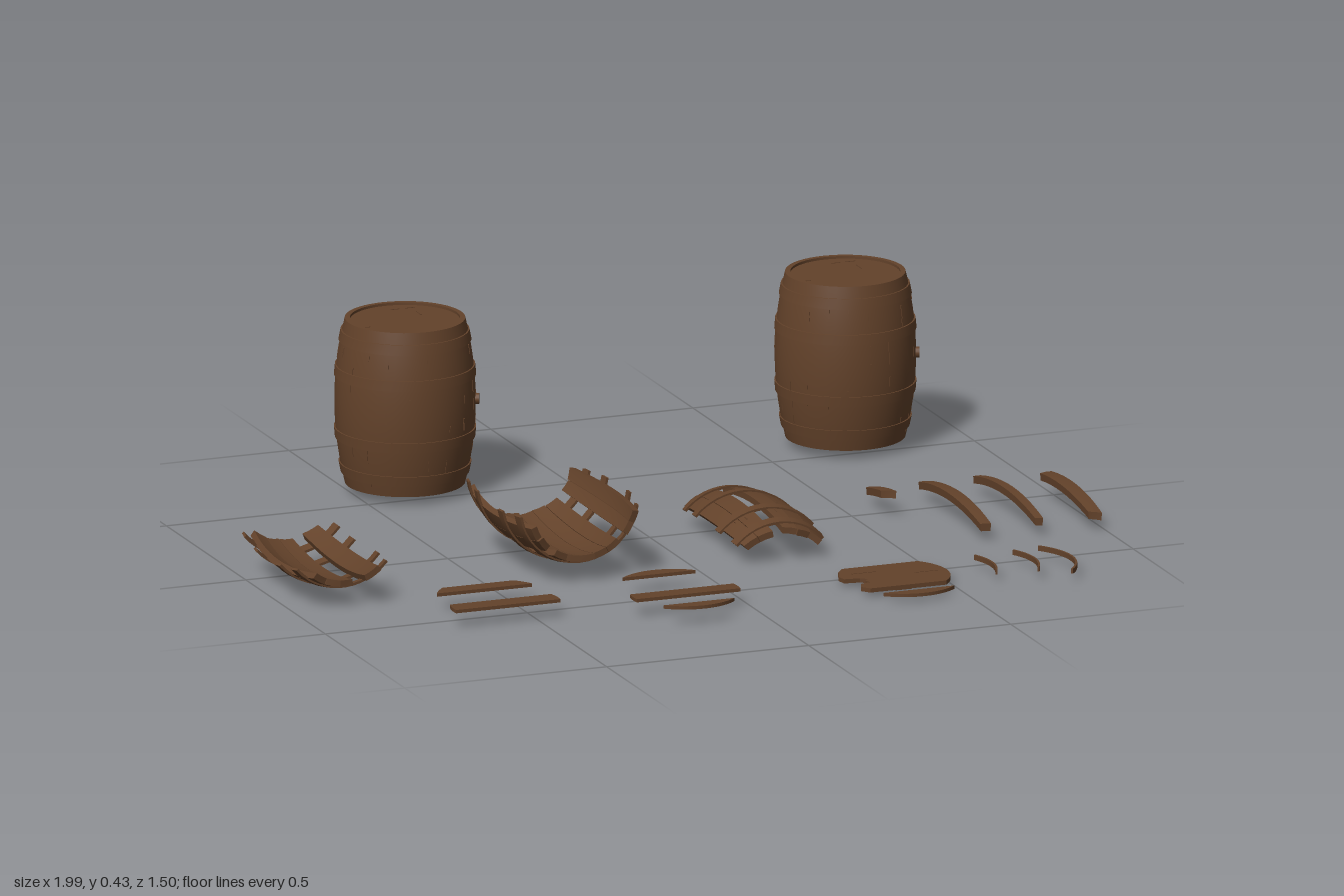
import * as THREE from 'three';
import { mergeGeometries } from 'three/addons/utils/BufferGeometryUtils.js';

const HALF = 0.196;               // half the length of a barrel
const HOOPS = [-0.157, -0.074, 0.074, 0.157];
const DEG = Math.PI / 180;
const radius = (t) => 0.139 + 0.024 * (1 - (t / HALF) ** 2);

export function createModel() {
  const model = new THREE.Group();
  const wood = new THREE.MeshStandardMaterial({ color: 0x63422a });
  wood.name = 'brown wood';

  let seed = 7;
  const rnd = (a, b) => {
    seed = (seed * 16807) % 2147483647;
    return a + (b - a) * (seed / 2147483647);
  };
  const add = (parent, name, geometry, x = 0, y = 0, z = 0) => {
    const mesh = new THREE.Mesh(geometry, wood);
    mesh.name = name;
    mesh.position.set(x, y, z);
    parent.add(mesh);
  };
  const group = (name, x, y, z, parent = model) => {
    const g = new THREE.Group();
    g.name = name;
    g.position.set(x, y, z);
    parent.add(g);
    return g;
  };

  // Box wrapped round the z axis on the barrel profile; angles in degrees, 0 is +y
  const bent = (a0, a1, low, high, z0, z1, slant = 0) => {
    const nu = Math.max(1, Math.ceil((a1 - a0) / 8));
    const nz = Math.max(1, Math.ceil((z1 - z0) / 0.035));
    const geo = new THREE.BoxGeometry(1, 1, 1, nu, 1, nz);
    const p = geo.attributes.position;
    for (let i = 0; i < p.count; i++) {
      const u = p.getX(i) + 0.5;
      const w = p.getZ(i) + 0.5;
      const a = (a0 + (a1 - a0) * u) * DEG;
      // slant cuts the two ends askew
      const cut = w === 0 ? -slant : w === 1 ? slant : 0;
      const z = z0 + (z1 - z0) * w + cut * (u - 0.5);
      const r = radius(z) + (p.getY(i) > 0 ? high : low);
      p.setXYZ(i, Math.sin(a) * r, Math.cos(a) * r, z);
    }
    geo.computeVertexNormals();
    return geo;
  };
  const split = (a, z, len, width = 0.7) => bent(a, a + width, -0.002, 0.0012, z, z + len);

  // Handle bar with sloping sides and ends, long in z
  const handleGeometry = (height) => {
    const geo = new THREE.BoxGeometry(0.032, height, 0.124).translate(0, height / 2, 0);
    const p = geo.attributes.position;
    for (let i = 0; i < p.count; i++) {
      if (p.getY(i) > 0) p.setXYZ(i, p.getX(i) * 0.4, height, p.getZ(i) * 0.72);
    }
    geo.computeVertexNormals();
    return geo;
  };

  // Whole barrels
  const makeBarrel = (x, z) => {
    const barrel = group('barrel', x, 0.217, z);
    const side = [];
    for (let i = 0; i <= 14; i++) {
      const t = -HALF + (2 * HALF * i) / 14;
      side.push(new THREE.Vector2(radius(t), t));
    }
    add(barrel, 'barrelBody', new THREE.LatheGeometry(side, 48));
    for (const s of [-1, 1]) {
      const turn = -s * Math.PI / 2;
      add(barrel, 'rim', new THREE.RingGeometry(0.127, 0.139, 48).rotateX(turn), 0, s * HALF, 0);
      // inner wall of the rim, listed from top to bottom so that it faces inwards
      const lip = [s * HALF, s * (HALF - 0.006)].sort((a, b) => b - a).map((y) => new THREE.Vector2(0.127, y));
      add(barrel, 'rimLip', new THREE.LatheGeometry(lip, 48));
      add(barrel, 'barrelHead', new THREE.CircleGeometry(0.128, 48).rotateX(turn), 0, s * (HALF - 0.006), 0);
    }
    add(barrel, 'handle', handleGeometry(0.022), 0, HALF - 0.006, 0);
    for (const [cx, cz, w, d] of [[0.03, -0.09, 0.06, 0.003], [-0.11, 0.03, 0.025, 0.003], [0.05, -0.04, 0.003, 0.03]]) {
      add(barrel, 'headSplit', new THREE.BoxGeometry(w, 0.002, d), cx, HALF - 0.0055, cz);
    }

    const wrap = group('barrelBands', 0, 0, 0, barrel);
    wrap.rotation.x = -Math.PI / 2;
    const bands = HOOPS.map((h) => bent(0, 360, -0.002, 0.0035, h - 0.012, h + 0.012));
    // Short splits along the stave joints
    const splits = [];
    for (let i = 0; i < 20; i++) {
      for (let k = 0; k < 3; k++) {
        splits.push(split(i * 18 + rnd(-1, 1), rnd(-0.18, 0.15), rnd(0.012, 0.035)));
      }
    }
    add(wrap, 'hoops', mergeGeometries(bands));
    add(wrap, 'splits', mergeGeometries(splits));

    // Bung on the left side
    const a = 113 * DEG;
    const bung = group('bung', Math.sin(a) * 0.162, 0.003, -Math.cos(a) * 0.162, barrel);
    bung.rotation.y = Math.PI / 2 - a;
    add(bung, 'bungPeg', new THREE.CylinderGeometry(0.013, 0.013, 0.018, 16).rotateZ(-Math.PI / 2));
  };
  makeBarrel(-0.375, -0.587);
  makeBarrel(0.715, -0.587);

  // Broken barrel sides lying along z: runs of staves held by hoop pieces
  const makeShell = (x, y, runs, hoop0, hoop1) => {
    const shell = group('brokenBarrelSide', x, y, 0.113);
    const staves = [], bands = [], splits = [];
    for (const [a0, a1] of runs) {
      const n = Math.max(1, Math.round((a1 - a0) / 14));
      const step = (a1 - a0) / n;
      for (let i = 0; i < n; i++) {
        const a = a0 + i * step;
        staves.push(bent(a, a + step - 0.4, -0.015, 0, -HALF + rnd(0, 0.008), HALF - rnd(0, 0.008), rnd(-0.008, 0.008)));
        splits.push(split(a + rnd(1, step - 2), rnd(-0.17, 0.13), rnd(0.015, 0.04)));
      }
    }
    for (const h of HOOPS) {
      bands.push(bent(hoop0 + rnd(0, 6), hoop1 - rnd(0, 6), -0.002, 0.004, h - 0.012, h + 0.012));
    }
    add(shell, 'staves', mergeGeometries(staves));
    add(shell, 'hoopPieces', mergeGeometries(bands));
    add(shell, 'splits', mergeGeometries(splits));
  };
  makeShell(-0.872, 0.19, [[141, 160], [172, 217]], 128, 231);
  makeShell(-0.285, 0.19, [[103, 129], [138, 213], [221, 250]], 95, 264);
  makeShell(0.21, -0.06, [[-42, -11], [0, 44]], -49, 49);

  // Loose arched staves: x, width, start and end along the barrel, slant of the ends
  const STAVES = [[0.58, 0.03, -HALF - 0.01, -0.085, 0.025], [0.71, 0.03, -HALF, HALF, 0.003],
    [0.842, 0.022, -HALF, HALF, 0.003], [0.981, 0.035, -0.115, HALF, 0.012]];
  for (const [x, w, z0, z1, slant] of STAVES) {
    const a = (w / 0.163 / 2) / DEG;
    add(model, 'looseStave', bent(-a, a, -0.018, 0, z0, z1, slant), x, -0.098, 0.113);
  }

  // Loose hoop pieces lying flat: x of the middle, z, half angle
  for (const [x, z, a] of [[0.62, 0.582, 25], [0.724, 0.584, 29], [0.81, 0.6, 41]]) {
    const arc = new THREE.Shape();
    arc.absarc(0, 0, 0.165, -a * DEG, a * DEG, false);
    arc.absarc(0, 0, 0.160, a * DEG, -a * DEG, true);
    const geo = new THREE.ExtrudeGeometry(arc, { depth: 0.012, bevelEnabled: false, curveSegments: 16 });
    add(model, 'looseHoop', geo.rotateX(Math.PI / 2), x - 0.165, 0.03, z);
  }

  // Boards cut from a round barrel head between two z offsets, or with a broken left edge
  const R = 0.13;
  const board = (za, zb, depth, brokenEdge) => {
    const right = [];
    const b0 = Math.asin(za / R), b1 = Math.asin(zb / R);
    for (let i = 0; i <= 10; i++) {
      const b = b0 + ((b1 - b0) * i) / 10;
      right.push([R * Math.cos(b), R * Math.sin(b)]);
    }
    const left = brokenEdge || right.map(([x, z]) => [-x, z]).reverse();
    const outline = right.concat(left)
      .filter(([x, z], i, all) => !i || Math.hypot(x - all[i - 1][0], z - all[i - 1][1]) > 1e-4);
    const shape = new THREE.Shape(outline.map(([x, z]) => new THREE.Vector2(x, z)));
    return new THREE.ExtrudeGeometry(shape, { depth, bevelEnabled: false }).rotateX(Math.PI / 2);
  };
  const BOARDS = [[-0.573, 0.472, -0.096, -0.055], [-0.573, 0.552, -0.035, 0.014], [-0.153, 0.541, -R, -0.094],
    [-0.152, 0.609, -0.022, 0.022], [-0.155, 0.607, 0.096, R], [0.385, 0.619, 0.096, R]];
  for (const [x, z, za, zb] of BOARDS) {
    add(model, 'headBoard', board(za, zb, 0.008), x, x > 0 ? 0.022 : 0.044, z);
  }

  // Broken head with its handle and underside batten
  const head = group('brokenHead', 0.38, 0.02, 0.572);
  const edge = [[-0.094, 0.09], [-0.11, 0.07], [-0.1, 0.045], [-0.075, 0.04], [-0.08, 0.022], [-0.07, 0.012],
    [-0.085, 0], [-0.122, -0.005], [-0.126, -0.03], [-0.113, -0.065], [-0.094, -0.09]];
  add(head, 'headBoards', board(-0.09, 0.09, 0.01, edge));
  add(head, 'handle', handleGeometry(0.01));
  add(head, 'batten', new THREE.BoxGeometry(0.04, 0.01, 0.12), 0, -0.015, 0);
  for (const [x, z] of [[0.08, 0], [-0.06, -0.04]]) {
    add(head, 'headSplit', new THREE.BoxGeometry(0.06, 0.002, 0.003), x, 0, z);
  }
  return model;
}
